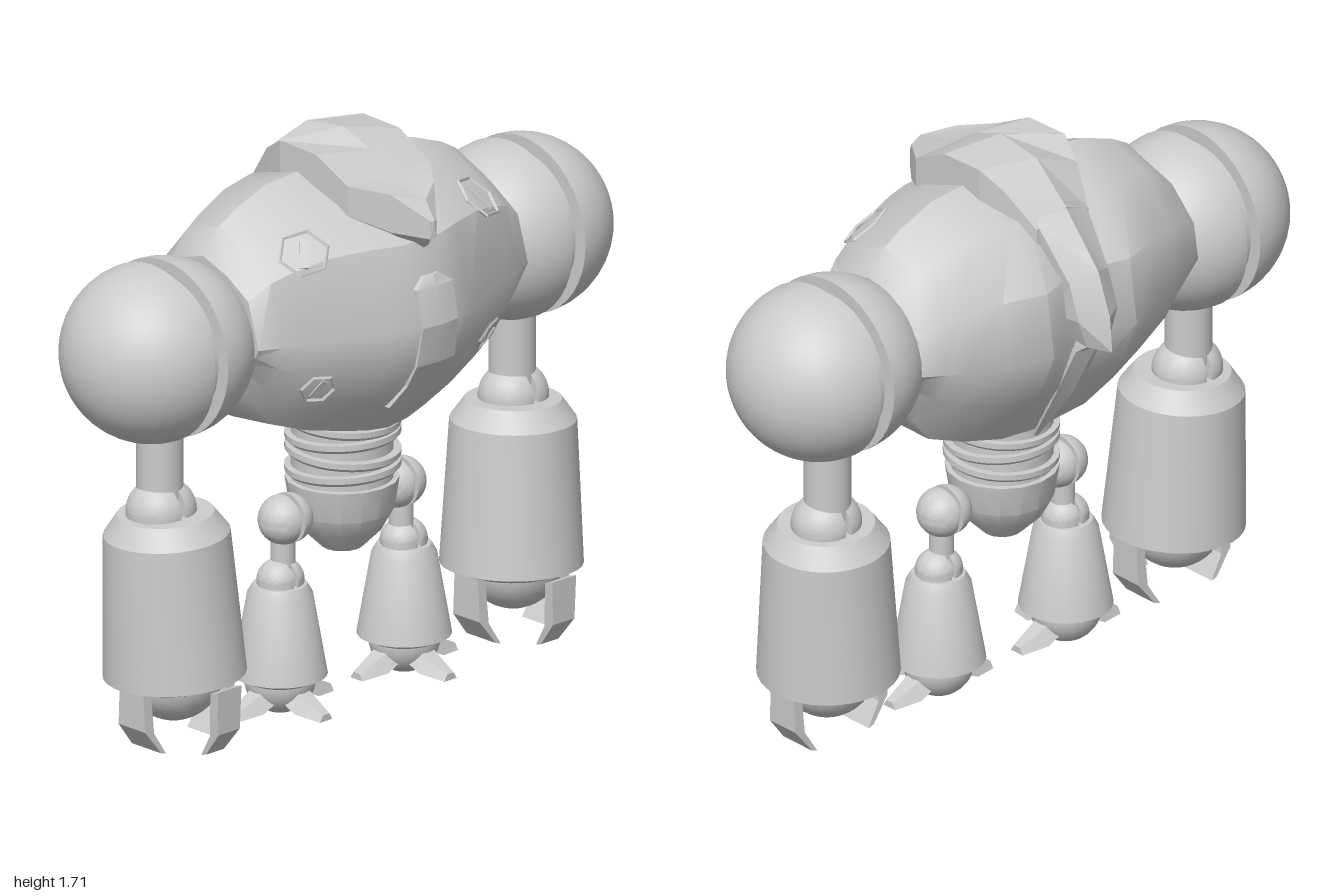
import * as THREE from 'three';
import { toCreasedNormals } from 'three/addons/utils/BufferGeometryUtils.js';

const mat = new THREE.MeshStandardMaterial({ color: 0xcccccc });
const V2 = (p) => new THREE.Vector2(p[0], p[1]);

function add(parent, name, geo, x = 0, y = 0, z = 0) {
  const m = new THREE.Mesh(geo, mat);
  m.name = name;
  m.position.set(x, y, z);
  parent.add(m);
  return m;
}

// Skin a row of equal-length rings, cap both ends and turn all faces outward.
function loft(rings, crease = 0.3) {
  const n = rings[0].length, pts = rings.flat(), tris = [];
  for (let i = 0; i + 1 < rings.length; i++) {
    for (let j = 0; j < n; j++) {
      const a = i * n + j, b = i * n + (j + 1) % n;
      tris.push([a, b, a + n], [b, b + n, a + n]);
    }
  }
  const last = (rings.length - 1) * n;
  for (let j = 1; j + 1 < n; j++) tris.push([0, j + 1, j], [last, last + j, last + j + 1]);
  const v = pts.map((p) => new THREE.Vector3(...p));
  const mid = v.reduce((s, p) => s.add(p), new THREE.Vector3()).divideScalar(v.length);
  let volume = 0;
  for (const [a, b, c] of tris) {
    const [p, q, r] = [a, b, c].map((k) => v[k].clone().sub(mid));
    volume += p.dot(q.cross(r));
  }
  const geo = new THREE.BufferGeometry();
  geo.setAttribute('position', new THREE.Float32BufferAttribute(pts.flat(), 3));
  geo.setIndex(tris.map((t) => (volume < 0 ? [t[0], t[2], t[1]] : t)).flat());
  return toCreasedNormals(geo, crease);
}

// Turned part; profile runs bottom to top as [radius, height].
const turned = (profile, sides = 32) =>
  toCreasedNormals(new THREE.LatheGeometry(profile.map(V2), sides), 0.5);

// Ball split by a groove; the axis lies along x.
function groovedBall(r, gap, depth, steps = 12) {
  const p = [];
  for (let i = 0; i <= steps; i++) {
    const a = (i / steps) * Math.PI / 2;
    p.push([r * Math.sin(a), -gap - r * Math.cos(a)]);
  }
  p.push([r - depth, -gap], [r - depth, gap]);
  for (let i = steps; i >= 0; i--) {
    const a = (i / steps) * Math.PI / 2;
    p.push([r * Math.sin(a), gap + r * Math.cos(a)]);
  }
  return turned(p, 40).rotateZ(-Math.PI / 2);
}

// Digit pointing along +z from stations [outer reach, y, width, thickness].
const digit = (stations) => loft(stations.map(([r, y, w, t]) => [
  [-w / 2, y, r], [w / 2, y, r], [w / 2, y - t * 0.3, r - t], [-w / 2, y - t * 0.3, r - t],
]));

function buildTorso(g) {
  // Unit side outline as [height, depth], scaled at each station across x.
  const outline = [[1, 0.03], [0.84, 0.45], [0.6, 0.82], [0, 1], [-0.32, 0.94], [-0.66, 0.75],
    [-0.95, 0.5], [-1, 0], [-1, -0.4], [-0.5, -0.8], [-0.05, -1], [0.45, -0.92], [0.85, -0.5]];
  // [x, top, bottom, front, back]
  const half = [[0.08, 1.61, 0.84, 0.425, 0.34], [0.16, 1.615, 0.855, 0.395, 0.37],
    [0.29, 1.605, 0.885, 0.34, 0.32], [0.41, 1.56, 0.93, 0.29, 0.275],
    [0.47, 1.525, 1.01, 0.265, 0.25], [0.535, 1.45, 1.14, 0.235, 0.22]];
  const stations = [...half.map(([x, ...r]) => [-x, ...r]).reverse(),
    [0, 1.61, 0.83, 0.43, 0.33], ...half];
  const cy = 1.22;
  const torso = add(g, 'torso', loft(stations.map(([x, top, bottom, front, back]) =>
    outline.map(([y, z]) => [x, cy + y * (y > 0 ? top - cy : cy - bottom),
      z * (z > 0 ? front : back)])), 0.6));

  // Hexagonal vents set against the front of the torso
  const ray = new THREE.Raycaster();
  for (const s of [-1, 1]) {
    for (const [x, y, r] of [[0.345, 1.465, 0.075], [0.335, 1.065, 0.052]]) {
      ray.set(new THREE.Vector3(s * x, y, 2), new THREE.Vector3(0, 0, -1));
      const hit = ray.intersectObject(torso)[0];
      const vent = new THREE.Group();
      vent.name = 'vent';
      vent.position.copy(hit.point);
      vent.quaternion.setFromUnitVectors(new THREE.Vector3(0, 0, 1), hit.face.normal);
      add(vent, 'ventRim', toCreasedNormals(new THREE.TorusGeometry(r, 0.006, 4, 6), 0.3));
      add(vent, 'ventSlat', new THREE.BoxGeometry(r * 0.35, r * 1.3, 0.008)).rotation.z = s * 0.4;
      g.add(vent);
    }
  }

  // Chest keel: [y, front z, half width]
  const keel = [[1.36, 0.4, 0.03], [1.33, 0.415, 0.07], [1.22, 0.438, 0.07], [1.1, 0.418, 0.075],
    [1.03, 0.378, 0.075], [0.96, 0.33, 0.1], [0.86, 0.23, 0.02]];
  add(g, 'chestKeel', loft(keel.map(([y, z, w]) =>
    [[0, y, z], [w, y, z - 0.008], [w, y, z - 0.08], [-w, y, z - 0.08], [-w, y, z - 0.008]])));
}

function buildCrest(g) {
  // Faceted head: [ridge y, ridge z, half width, edge y, low edge y, edge z, bottom y, bottom z]
  const head = [[1.525, 0.405, 0.012, 1.525, 1.47, 0.4, 1.445, 0.378],
    [1.58, 0.368, 0.085, 1.6, 1.487, 0.315, 1.42, 0.34],
    [1.615, 0.22, 0.16, 1.62, 1.53, 0.215, 1.42, 0.2],
    [1.675, 0.14, 0.165, 1.685, 1.54, 0.09, 1.42, 0.1],
    [1.715, 0.03, 0.165, 1.69, 1.55, -0.06, 1.42, 0.02],
    [1.695, -0.12, 0.14, 1.64, 1.54, -0.14, 1.42, -0.1],
    [1.585, -0.245, 0.1, 1.54, 1.46, -0.23, 1.4, -0.16]];
  add(g, 'head', loft(head.map(([ry, rz, w, ey, ly, ez, by, bz]) =>
    [[0, ry, rz], [w, ey, ez], [w, ly, ez], [0, by, bz], [-w, ly, ez], [-w, ey, ez]])));

  // Spine: [ridge y, ridge z, half width, edge y, edge z]
  const spine = [[1.6, -0.23, 0.095, 1.56, -0.22], [1.43, -0.38, 0.075, 1.4, -0.34],
    [1.3, -0.43, 0.075, 1.29, -0.38], [1.19, -0.44, 0.045, 1.2, -0.38],
    [1.18, -0.37, 0.05, 1.17, -0.34], [1.0, -0.275, 0.05, 1.0, -0.255],
    [0.8, -0.125, 0.01, 0.8, -0.12]];
  const inward = (y, z, k) => [y + (1.25 - y) * k, z * (1 - k)];
  add(g, 'spine', loft(spine.map(([ry, rz, w, ey, ez]) => {
    const [ly, lz] = inward(ey, ez, 0.22), [by, bz] = inward(ry, rz, 0.24);
    return [[0, ry, rz], [w, ey, ez], [w, ly, lz], [0, by, bz], [-w, ly, lz], [-w, ey, ez]];
  })));
}

function buildArm(g, s) {
  const arm = new THREE.Group();
  arm.name = s > 0 ? 'leftArm' : 'rightArm';
  g.add(arm);
  // The right shoulder hangs slightly lower
  add(arm, 'shoulder', groovedBall(0.265, 0.025, 0.04, 16), s * 0.71, s > 0 ? 1.228 : 1.208, 0);
  add(arm, 'upperArm', new THREE.CylinderGeometry(0.068, 0.068, 0.28, 24), s * 0.7, 0.89, 0);
  add(arm, 'elbow', groovedBall(0.095, 0.01, 0.02), s * 0.7, 0.72, 0.005);
  const forearm = add(arm, 'forearm', turned([[0, -0.26], [0.15, -0.26], [0.207, -0.238],
    [0.183, 0.19], [0.14, 0.25], [0, 0.25]]), s * 0.68, 0.465, 0.022);
  forearm.rotation.set(-0.03, 0, -s * 0.045);
  add(arm, 'hand', new THREE.SphereGeometry(0.145, 28, 18), s * 0.675, 0.235, 0.03);
  // Front claw narrows, side claws flare
  for (const a of [0, 1, -1]) {
    add(arm, 'claw', digit([[0.18, 0.23, 0.095, 0.03], [0.178, 0.1, a ? 0.11 : 0.085, 0.035],
      [0.12, 0.025, a ? 0.12 : 0.07, 0.02]]), s * 0.665, 0, a ? 0.033 : 0.07).rotation.y = a * Math.PI / 2;
  }
}

function buildLeg(g, s) {
  const leg = new THREE.Group();
  leg.name = s > 0 ? 'leftLeg' : 'rightLeg';
  g.add(leg);
  const z = 0.025;
  add(leg, 'hip', groovedBall(0.074, 0.008, 0.015), s * 0.225, 0.58, z);
  add(leg, 'thigh', new THREE.CylinderGeometry(0.036, 0.036, 0.14, 20), s * 0.235, 0.48, z);
  add(leg, 'knee', groovedBall(0.064, 0.007, 0.012), s * 0.245, 0.4, z);
  add(leg, 'shin', turned([[0, 0.1], [0.1, 0.1], [0.137, 0.118], [0.095, 0.36],
    [0.078, 0.39], [0, 0.39]]), s * 0.247, 0, z);
  add(leg, 'foot', new THREE.SphereGeometry(0.105, 24, 16), s * 0.247, 0.107, z);
  for (const a of [0, 1, -1]) {
    add(leg, 'toe', loft([[0.07, 0.1, 0.1, 0.05], [0.11, 0.075, 0.095, 0.045], [0.19, 0.04, 0.05, 0.02]]
      .map(([r, y, w, t]) => [[-w / 2, y - t, r], [w / 2, y - t, r], [w * 0.25, y, r], [-w * 0.25, y, r]])),
    s * 0.247, 0, z).rotation.y = a * Math.PI / 2;
  }
}

export function createModel() {
  const g = new THREE.Group();
  g.name = 'robot';
  buildTorso(g);
  buildCrest(g);

  // Waist core with ribs that lean alternately
  add(g, 'waist', new THREE.CylinderGeometry(0.148, 0.148, 0.26, 28), 0, 0.78, 0.025);
  [0.69, 0.74, 0.79, 0.835].forEach((y, i) => {
    const rib = add(g, 'waistRib', turned([[0, -0.015], [0.158, -0.015], [0.168, -0.005],
      [0.168, 0.012], [0, 0.015]]), 0, y, 0.028);
    rib.rotation.set(i % 2 ? 0.06 : -0.04, 0, i % 2 ? -0.03 : 0.03);
  });
  add(g, 'pelvis', turned([[0, 0.435], [0.06, 0.445], [0.12, 0.505], [0.15, 0.56], [0.165, 0.655],
    [0, 0.665]], 16), 0, 0, 0.025);

  for (const s of [-1, 1]) {
    buildArm(g, s);
    buildLeg(g, s);
  }
  return g;
}
